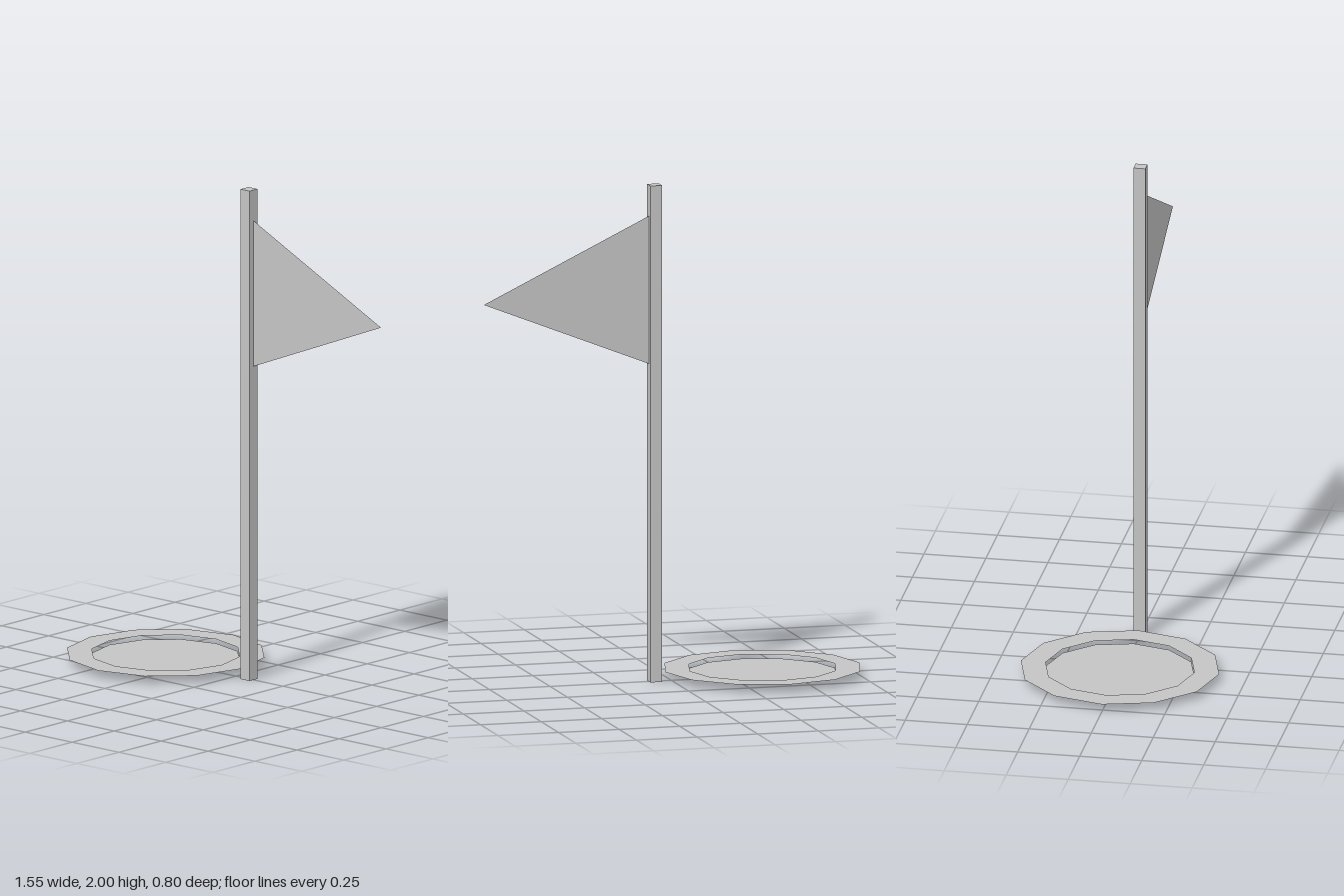
import * as THREE from 'three';

export function createModel() {
  const group = new THREE.Group();
  const grey = new THREE.MeshStandardMaterial({ color: 0xc4c4c4, side: THREE.DoubleSide, flatShading: true });
  grey.name = 'lightGrey';

  function add(name, geometry, x, y, z) {
    const mesh = new THREE.Mesh(geometry, grey);
    mesh.name = name;
    mesh.position.set(x, y, z);
    group.add(mesh);
  }

  // square pole
  add('pole', new THREE.BoxGeometry(0.048, 2, 0.048), 0.069, 1, 0);

  // triangular pennant, a single thin sheet
  const pennant = new THREE.Shape([
    new THREE.Vector2(0, 1.28),
    new THREE.Vector2(0.68, 1.55),
    new THREE.Vector2(0, 1.875),
  ]);
  add('flag', new THREE.ShapeGeometry(pennant), 0.093, 0, 0);

  // twelve-sided rim with the hole's floor slightly lower
  add('holeRim', new THREE.RingGeometry(0.3, 0.4, 12).rotateX(-Math.PI / 2), -0.375, 0.034, 0);
  add('holeFloor', new THREE.CircleGeometry(0.3, 12).rotateX(-Math.PI / 2), -0.375, 0.017, 0);

  return group;
}
